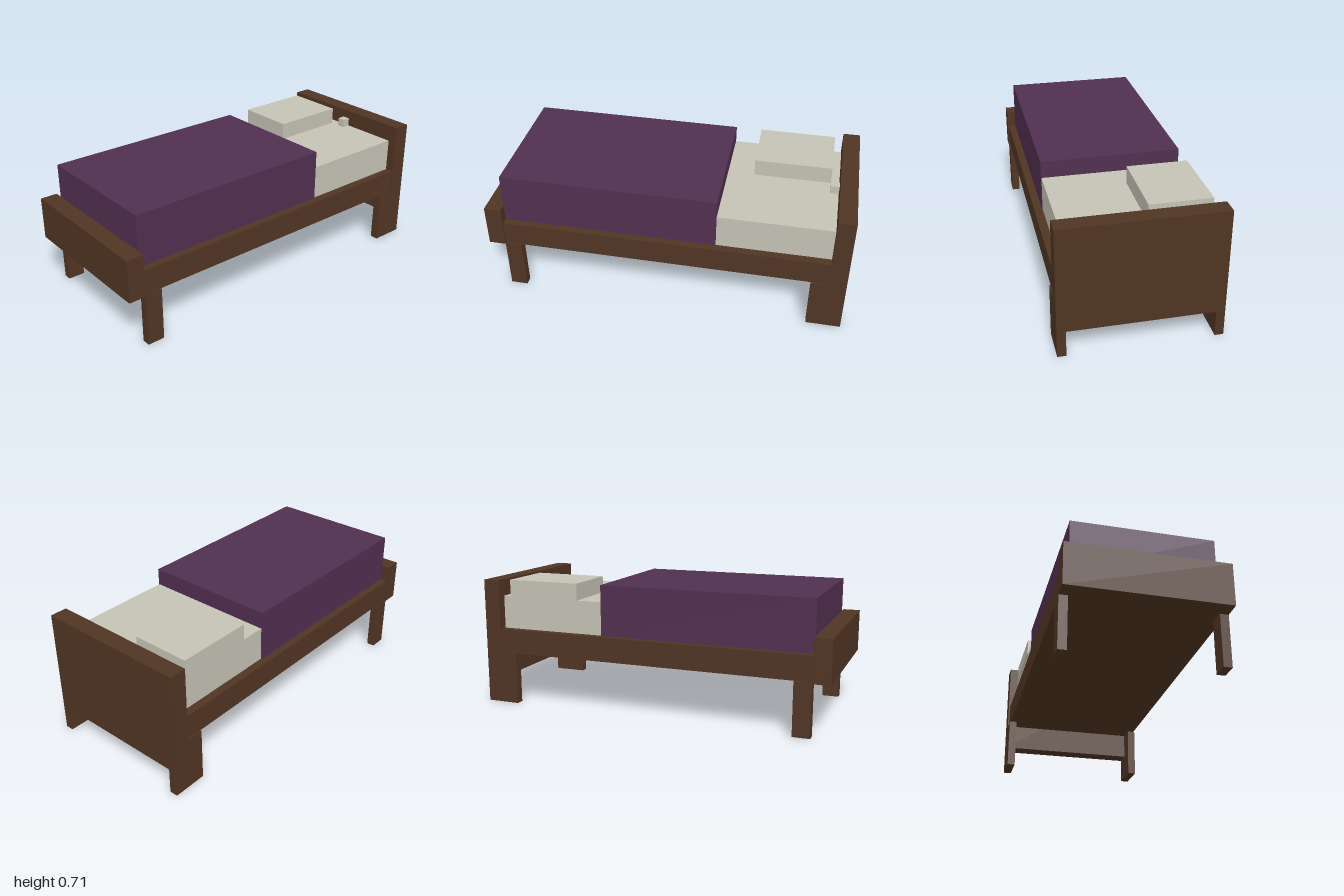
import * as THREE from 'three';

const flat = (name, color) => {
  const m = new THREE.MeshStandardMaterial({ color });
  m.name = name;
  return m;
};

export function createModel() {
  const bed = new THREE.Group();
  bed.name = 'bed';
  const wood = flat('dark wood', 0x513523);
  const purple = flat('purple blanket', 0x522f50);
  const linen = flat('off-white linen', 0xc5c2b5);

  // Box given by its extents on each axis
  const block = (name, material, [x0, x1], [y0, y1], [z0, z1]) => {
    const mesh = new THREE.Mesh(new THREE.BoxGeometry(x1 - x0, y1 - y0, z1 - z0), material);
    mesh.position.set((x0 + x1) / 2, (y0 + y1) / 2, (z0 + z1) / 2);
    mesh.name = name;
    bed.add(mesh);
  };

  // Frame between the two end boards
  block('bedFrame', wood, [-0.42, 0.42], [0.295, 0.432], [-0.905, 0.905]);
  block('footboard', wood, [-0.427, 0.427], [0.288, 0.525], [0.905, 1]);

  // Headboard, open at the bottom between its posts
  block('headboard', wood, [-0.427, 0.427], [0.145, 0.715], [-1, -0.905]);

  // Legs, mirrored left and right
  for (const [side, x] of [['left', [0.381, 0.427]], ['right', [-0.427, -0.381]]]) {
    block(side + 'HeadboardPost', wood, x, [0, 0.145], [-1, -0.905]);
    block(side + 'BackLeg', wood, x, [0, 0.295], [-0.905, -0.81]);
    block(side + 'FrontLeg', wood, x, [0, 0.295], [0.81, 0.905]);
  }

  // Bedding
  block('mattress', linen, [-0.375, 0.375], [0.432, 0.62], [-0.905, -0.285]);
  block('blanket', purple, [-0.38, 0.378], [0.432, 0.715], [-0.285, 0.905]);
  block('pillow', linen, [-0.38, -0.052], [0.62, 0.715], [-0.858, -0.432]);
  block('smallCushion', linen, [0, 0.045], [0.62, 0.667], [-0.905, -0.858]);

  return bed;
}
